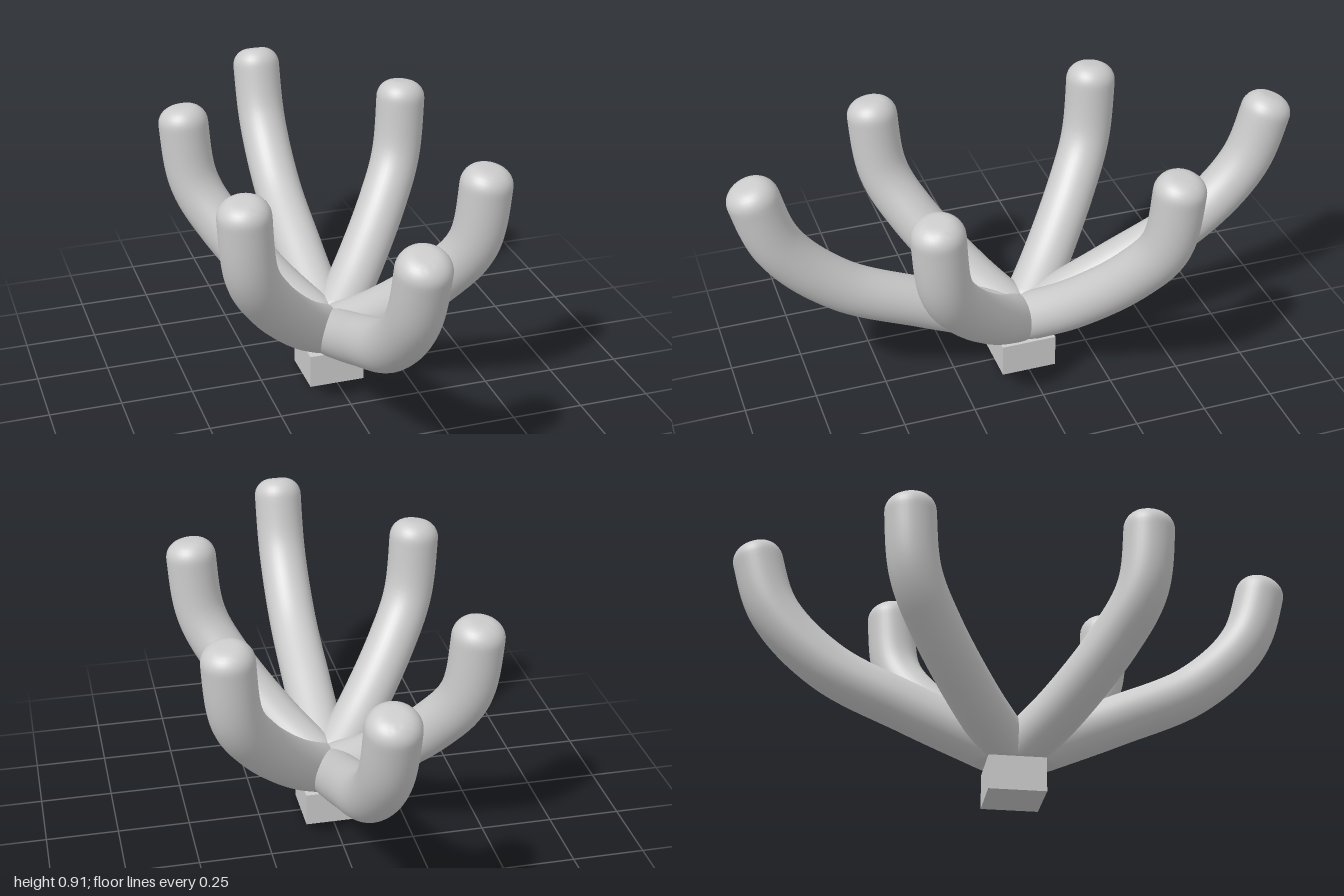
import * as THREE from 'three';
import { toCreasedNormals } from 'three/addons/utils/BufferGeometryUtils.js';

const RADIUS = 0.087;   // arm thickness
const FILLET = 0.062;   // rounding of the arm tips
const BASE_TOP = 0.12;
const SIDES = 36;

const material = new THREE.MeshStandardMaterial({ color: 0xcccccc });

// Arm that grows along +z: rings swept along a centreline given as [distance, height] points.
function armGeometry(points) {
  const curve = new THREE.CatmullRomCurve3(points.map(([d, y]) => new THREE.Vector3(0, y, d)));
  const length = curve.getLength();

  // Stations: [arc length, ring radius], straight shaft then rounded tip
  const stations = [];
  const shaft = 64;
  for (let i = 0; i <= shaft; i++) stations.push([(length - FILLET) * i / shaft, RADIUS]);
  for (let i = 1; i <= 8; i++) {
    const a = (i / 8) * Math.PI / 2;
    stations.push([length - FILLET + FILLET * Math.sin(a), RADIUS - FILLET * (1 - Math.cos(a))]);
  }
  stations.push([length, 0]);

  const positions = [];
  const indices = [];
  stations.forEach(([s, r], row) => {
    const u = Math.min(s / length, 1);
    const p = curve.getPointAt(u);
    const t = curve.getTangentAt(u);
    for (let j = 0; j < SIDES; j++) {
      const a = (j / SIDES) * Math.PI * 2;
      const up = Math.sin(a) * r;
      // Trim at the hub centre plane and flush with the top of the base
      positions.push(
        Math.cos(a) * r,
        Math.max(p.y + t.z * up, BASE_TOP + 0.002),
        Math.max(p.z - t.y * up, 0)
      );
      if (row > 0) {
        const k = (j + 1) % SIDES;
        const a0 = (row - 1) * SIDES + j, a1 = (row - 1) * SIDES + k;
        const b0 = row * SIDES + j, b1 = row * SIDES + k;
        indices.push(a0, a1, b0, a1, b1, b0);
      }
    }
  });

  const geometry = new THREE.BufferGeometry();
  geometry.setAttribute('position', new THREE.Float32BufferAttribute(positions, 3));
  geometry.setIndex(indices);
  return toCreasedNormals(geometry, 0.7);
}

export function createModel() {
  const model = new THREE.Group();
  model.name = 'branchingHolder';

  const add = (name, geometry, angle = 0) => {
    const mesh = new THREE.Mesh(geometry, material);
    mesh.name = name;
    mesh.rotation.y = angle;
    model.add(mesh);
    return mesh;
  };

  // Square foot
  add('base', new THREE.BoxGeometry(0.196, BASE_TOP, 0.196)).position.y = BASE_TOP / 2;

  // Two long arms, front and back
  const longArm = armGeometry([[0, 0.157], [0.35, 0.308], [0.64, 0.45], [0.83, 0.645], [0.915, 0.897]]);
  add('frontLongArm', longArm, 0);
  add('backLongArm', longArm, Math.PI);

  // Four shorter arms on the diagonals
  const shortArm = armGeometry([[0, 0.16], [0.205, 0.288], [0.424, 0.478], [0.535, 0.63], [0.576, 0.903]]);
  ['frontLeftArm', 'backLeftArm', 'backRightArm', 'frontRightArm'].forEach((name, i) => {
    add(name, shortArm, Math.PI / 4 + i * Math.PI / 2);
  });

  return model;
}
